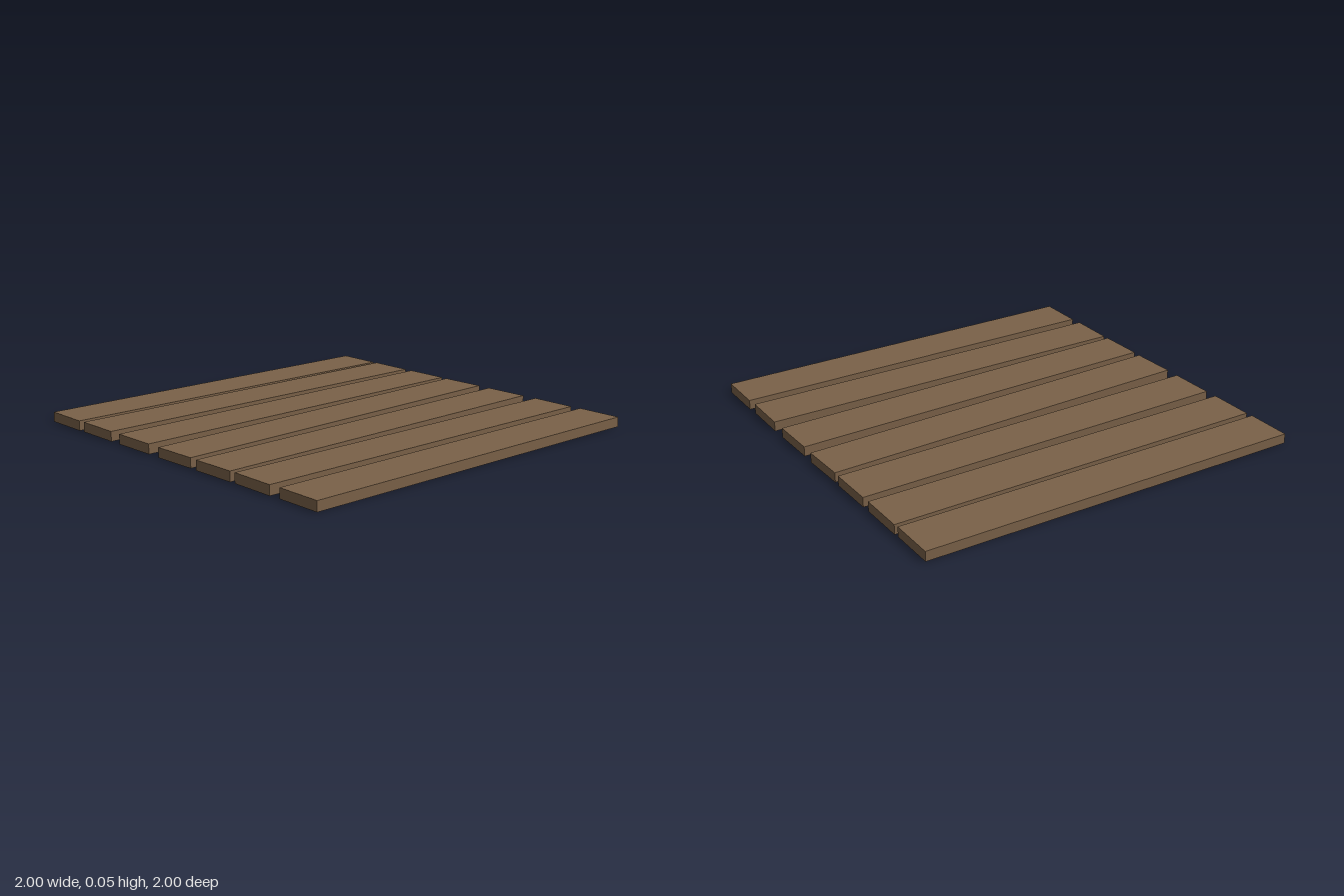
import * as THREE from 'three';

const LENGTH = 1.993, THICKNESS = 0.05, WIDTH = 0.237;

// Each plank: centre z, and how far z shifts from the right end (-x) to the left end (+x)
const PLANKS = [
  [-0.865, 0.035],
  [-0.6, 0.024],
  [-0.309, 0.003],
  [-0.017, -0.039],
  [0.277, -0.012],
  [0.569, 0.038],
  [0.862, 0.033],
];

export function createModel() {
  const group = new THREE.Group();
  group.name = 'plankFloor';
  const wood = new THREE.MeshStandardMaterial({ color: 0x7a6148 });
  const board = new THREE.BoxGeometry(LENGTH, THICKNESS, WIDTH);

  // Loose boards laid side by side, each slightly askew
  PLANKS.forEach(([z, shift], i) => {
    const plank = new THREE.Mesh(board, wood);
    plank.name = `plank${i + 1}`;
    plank.position.set(0, THICKNESS / 2, z);
    plank.rotation.y = -Math.atan2(shift, LENGTH);
    group.add(plank);
  });
  return group;
}
